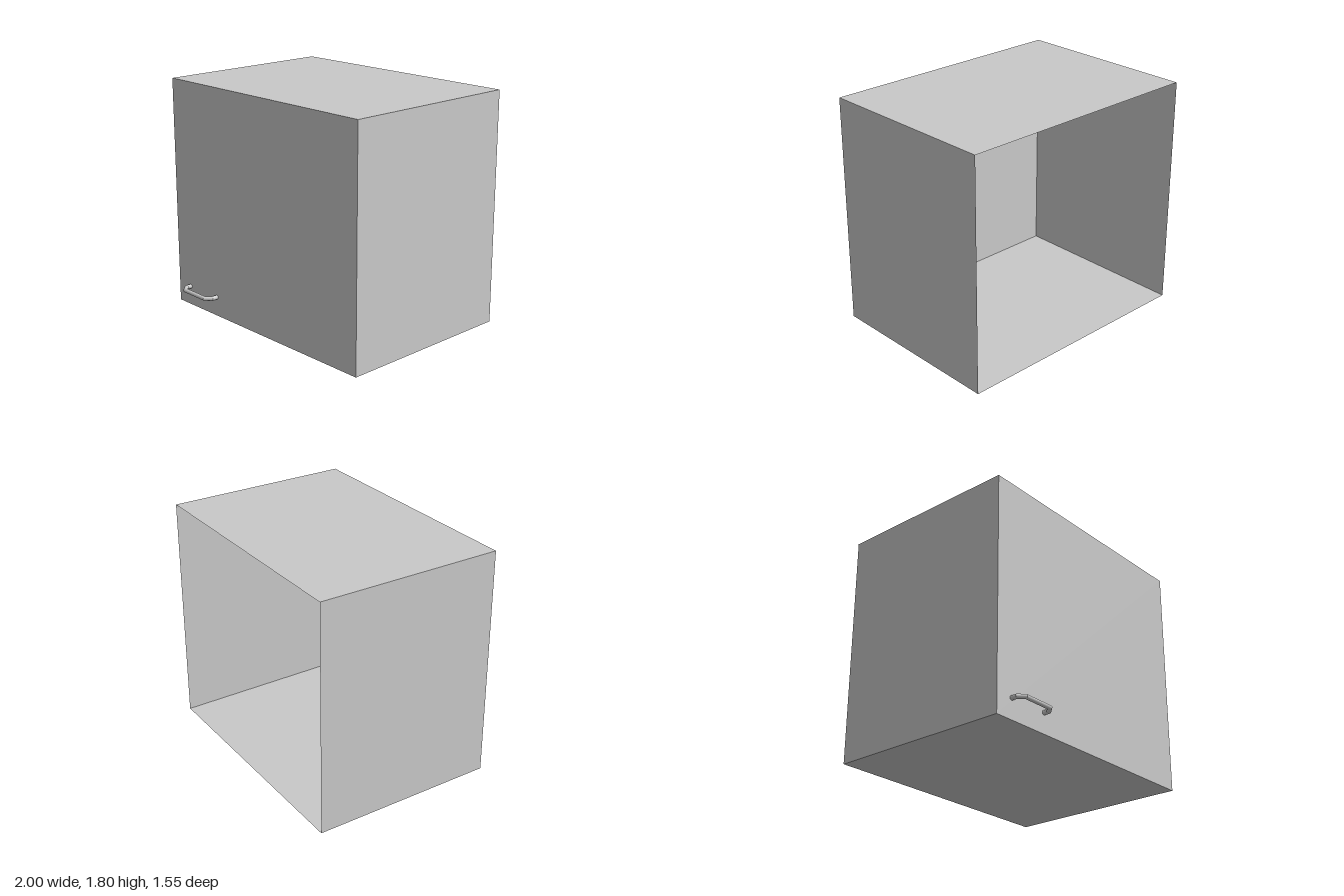
import * as THREE from 'three';

const W = 2, H = 1.805, BACK = -0.775, FRONT = 0.67;

const cabinetGrey = new THREE.MeshStandardMaterial({ color: 0xc8c8c8, side: THREE.DoubleSide });
cabinetGrey.name = 'cabinetGrey';

// Thin sheet panel facing outwards
function panel(name, w, h, position, rotation) {
  const mesh = new THREE.Mesh(new THREE.PlaneGeometry(w, h), cabinetGrey);
  mesh.name = name;
  mesh.position.set(...position);
  mesh.rotation.set(...rotation);
  return mesh;
}

// Round bar along a flat path of (x, z) points, with mitred bends
function mitredBar(name, points, radius) {
  const bar = new THREE.Group();
  bar.name = name;
  const dirs = points.slice(1).map((p, i) => p.clone().sub(points[i]).normalize());
  const sides = dirs.map(d => new THREE.Vector2(-d.y, d.x));
  const mitres = points.map((p, i) => {
    const a = sides[Math.max(i - 1, 0)], b = sides[Math.min(i, sides.length - 1)];
    return a.clone().add(b).divideScalar(1 + a.dot(b));
  });
  for (let i = 0; i < dirs.length; i++) {
    const geometry = new THREE.CylinderGeometry(radius, radius, 1, 16, 1, true);
    const pos = geometry.attributes.position, nor = geometry.attributes.normal;
    for (let v = 0; v < pos.count; v++) {
      const end = pos.getY(v) > 0 ? i + 1 : i;
      const p = points[end], m = mitres[end], x = pos.getX(v);
      pos.setXYZ(v, p.x + m.x * x, pos.getZ(v), p.y + m.y * x);
      const n = nor.getX(v);
      nor.setXYZ(v, sides[i].x * n, nor.getZ(v), sides[i].y * n);
    }
    const mesh = new THREE.Mesh(geometry, cabinetGrey);
    mesh.name = name + 'Section';
    bar.add(mesh);
  }
  return bar;
}

export function createModel() {
  const model = new THREE.Group();
  model.name = 'wallCabinet';
  const depth = FRONT - BACK, midZ = (FRONT + BACK) / 2, q = Math.PI / 2;

  // Cabinet shell, open at the back
  model.add(
    panel('door', W, H, [0, H / 2, FRONT], [0, 0, 0]),
    panel('topPanel', W, depth, [0, H, midZ], [-q, 0, 0]),
    panel('bottomPanel', W, depth, [0, 0, midZ], [q, 0, 0]),
    panel('leftPanel', depth, H, [W / 2, H / 2, midZ], [0, q, 0]),
    panel('rightPanel', depth, H, [-W / 2, H / 2, midZ], [0, -q, 0])
  );

  // Door handle
  const path = [[-0.165, 0.67], [-0.165, 0.713], [-0.12, 0.757], [0.12, 0.757], [0.165, 0.713], [0.165, 0.67]]
    .map(([x, z]) => new THREE.Vector2(x, z));
  const handle = mitredBar('handle', path, 0.017);
  handle.position.set(-0.692, 0.153, 0);
  model.add(handle);

  return model;
}
